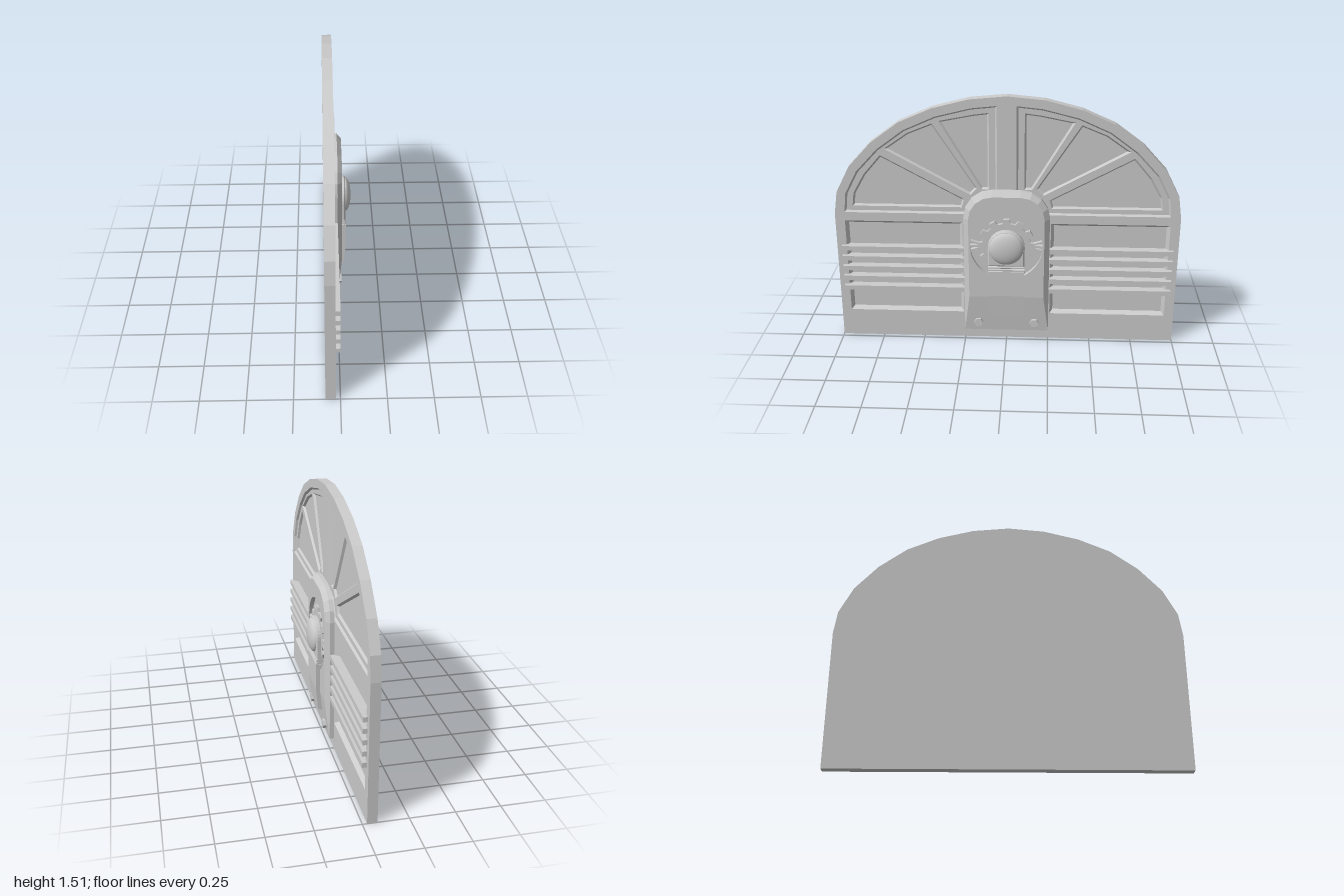
import * as THREE from 'three';

const material = new THREE.MeshStandardMaterial({ color: 0xcccccc, flatShading: true });
const smooth = new THREE.MeshStandardMaterial({ color: 0xcccccc });
const openWall = new THREE.MeshStandardMaterial({ color: 0xcccccc, side: THREE.DoubleSide });

const vec = (list) => list.map(([x, y]) => new THREE.Vector2(x, y));
const ccw = (pts) => (THREE.ShapeUtils.isClockWise(pts) ? pts.slice().reverse() : pts);
const mirror = (pts) => ccw(pts.map((p) => new THREE.Vector2(-p.x, p.y)));

// Moves every edge of a counter-clockwise loop inwards by d
function inset(pts, d) {
  const n = pts.length;
  return pts.map((p, i) => {
    const a = p.clone().sub(pts[(i + n - 1) % n]).normalize();
    const b = pts[(i + 1) % n].clone().sub(p).normalize();
    const na = new THREE.Vector2(-a.y, a.x), nb = new THREE.Vector2(-b.y, b.x);
    return p.clone().addScaledVector(na.clone().add(nb), d / (1 + na.dot(nb)));
  });
}

// Sloping band between two loops of equal length (a outside b)
function loft(a, za, b, zb) {
  const v = [];
  a.forEach((p, i) => {
    const j = (i + 1) % a.length, q = a[j], r = b[j], s = b[i];
    v.push(p.x, p.y, za, q.x, q.y, za, r.x, r.y, zb, p.x, p.y, za, r.x, r.y, zb, s.x, s.y, zb);
  });
  const g = new THREE.BufferGeometry();
  g.setAttribute('position', new THREE.Float32BufferAttribute(v, 3));
  g.computeVertexNormals();
  return g;
}

// Flat layer from z0 to z1, with optional holes
function layer(pts, z0, z1, holes = []) {
  const s = new THREE.Shape(pts);
  holes.forEach((h) => s.holes.push(new THREE.Path(h)));
  return new THREE.ExtrudeGeometry(s, { depth: z1 - z0, bevelEnabled: false }).translate(0, 0, z0);
}

// Arched outline: straight sides, quarter-circle corners of radius r
function arch(w, bottom, top, r, steps) {
  const pts = [[-w, bottom], [w, bottom]];
  for (const [cx, start] of [[w - r, 0], [r - w, Math.PI / 2]]) {
    for (let i = 0; i <= steps; i++) {
      const t = start + (i / steps) * Math.PI / 2;
      if (i === 0 && start > 0 && w - r < 0.001) continue;
      pts.push([cx + r * Math.cos(t), top - r + r * Math.sin(t)]);
    }
  }
  return vec(pts);
}

export function createModel() {
  const model = new THREE.Group();
  const door = new THREE.Group();
  door.name = 'archedDoor';
  door.rotation.y = Math.PI / 2; // decorated face looks along +x
  model.add(door);
  const add = (name, geo, mat = material) => {
    const m = new THREE.Mesh(geo, mat);
    m.name = name;
    door.add(m);
    return m;
  };
  const FACE = -0.025, FRAME = -0.037, FLOOR = -0.05;

  // Door outline and its recesses
  const half = [[1, 0.8], [0.98, 0.935], [0.9, 1.09], [0.767, 1.235], [0.605, 1.355], [0.418, 1.437], [0.212, 1.49]];
  const outline = vec([[-1, 0], [1, 0], ...half, [0, 1.51], ...half.map(([x, y]) => [-x, y]).reverse()]);
  const fan = ccw(vec([[-0.943, 0.81], [-0.93, 0.925], [-0.86, 1.06], [-0.735, 1.195], [-0.58, 1.31], [-0.4, 1.39],
    [-0.2, 1.44], [-0.055, 1.455], [-0.055, 0.93], [-0.17, 0.9], [-0.22, 0.81]]));
  const panes = [
    [[-0.895, 0.847], [-0.885, 0.925], [-0.82, 1.04], [-0.72, 1.157], [-0.245, 0.897], [-0.26, 0.847]],
    [[-0.695, 1.195], [-0.56, 1.29], [-0.418, 1.348], [-0.17, 0.965], [-0.21, 0.925]],
    [[-0.382, 1.362], [-0.19, 1.4], [-0.1, 1.412], [-0.1, 0.96], [-0.145, 0.96]],
  ].map((p) => ccw(vec(p)));
  const panel = vec([[-0.944, 0.17], [-0.257, 0.17], [-0.257, 0.757], [-0.944, 0.757]]);
  const both = (list) => [...list, ...list.map(mirror)];
  const fans = both([fan]), allPanes = both(panes), panels = both([panel]);

  add('backSlab', layer(outline, -0.08, FLOOR));
  add('faceFrame', layer(outline, FLOOR, FACE, [...fans, ...panels]));
  fans.forEach((f, i) => {
    add('fanWindowFrame', layer(f, FLOOR, FRAME, allPanes.slice(i * 3, i * 3 + 3)));
    add('fanWindowBevel', loft(f, FACE, inset(f, 0.01), FRAME));
  });
  allPanes.forEach((p) => add('paneBevel', loft(p, FRAME, inset(p, 0.01), FLOOR + 0.0005)));
  panels.forEach((p) => add('panelBevel', loft(p, FACE, inset(p, 0.018), FLOOR + 0.0005)));

  // Five horizontal bars across each side panel
  for (const side of [-1, 1]) {
    for (let i = 0; i < 5; i++) {
      add('panelBar', new THREE.BoxGeometry(0.75, 0.028, 0.05))
        .position.set(side * 0.595, 0.331 + i * 0.0645, -0.025);
    }
  }

  // Centre plate: base, chamfered upper face with round well, sloping lower face
  const TOP = 0.025, BEND = 0.3, CY = 0.63, WELL = 0.212;
  add('plateBase', layer(arch(0.25, 0.065, 0.965, 0.17, 4), FACE, 0));
  const outer = arch(0.25, BEND, 0.965, 0.17, 4);
  const inner = arch(0.22, BEND, 0.935, 0.14, 4);
  const rim = loft(outer, 0, inner, TOP);
  add('plateChamfer', rim);
  const face = new THREE.Shape(inner);
  face.holes.push(new THREE.Path().absarc(0, CY, WELL, 0, Math.PI * 2, true));
  add('plateFace', new THREE.ShapeGeometry(face, 20).translate(0, 0, TOP));
  add('wellWall', new THREE.CylinderGeometry(WELL, WELL, TOP, 40, 1, true)
    .rotateX(Math.PI / 2).translate(0, CY, TOP / 2), openWall);
  const ramp = new THREE.BufferGeometry();
  ramp.setAttribute('position', new THREE.Float32BufferAttribute([
    -0.25, 0.065, 0.001, 0.25, 0.065, 0.001, 0.22, BEND, TOP, -0.22, BEND, TOP, 0.25, BEND, 0, -0.25, BEND, 0], 3));
  ramp.setIndex([0, 1, 2, 0, 2, 3, 1, 4, 2, 0, 3, 5]);
  const rampFlat = ramp.toNonIndexed();
  rampFlat.computeVertexNormals();
  add('plateRamp', rampFlat);

  // Toothed wheel in the well
  const teeth = 12, gear = [];
  for (let i = 0; i < teeth; i++) {
    for (const [f, r] of [[-0.3, 0.142], [-0.2, 0.168], [0.2, 0.168], [0.3, 0.142]]) {
      const t = Math.PI / 2 + ((i + f) / teeth) * Math.PI * 2;
      gear.push([r * Math.cos(t), CY + r * Math.sin(t)]);
    }
  }
  add('gearWheel', layer(vec(gear), 0, 0.02));

  // Small splayed pins either side of the wheel
  for (const side of [-1, 1]) {
    for (const k of [-1, 0, 1]) {
      const pin = add('sidePin', new THREE.BoxGeometry(0.055, 0.011, 0.022));
      pin.position.set(side * 0.185, CY + k * 0.022, 0.011);
      pin.rotation.z = side * k * 0.3;
    }
  }

  // Handle housing: round head, dome, ribs and tapering lower arm
  const head = arch(0.107, 0.51, 0.735, 0.107, 8);
  add('handleHead', layer(head, 0, 0.04));
  const headTop = inset(head, 0.008);
  add('handleHeadBevel', loft(head, 0.04, headTop, 0.047));
  add('handleHeadFace', new THREE.ShapeGeometry(new THREE.Shape(headTop)).translate(0, 0, 0.047));
  const dome = add('dome', new THREE.SphereGeometry(0.1, 28, 12, 0, Math.PI * 2, 0, Math.PI / 2).rotateX(Math.PI / 2), smooth);
  dome.position.set(0, 0.625, 0.045);
  dome.scale.z = 0.35;
  for (const y of [0.487, 0.503]) {
    add('handleRib', new THREE.CylinderGeometry(0.008, 0.008, 0.214, 8).rotateZ(Math.PI / 2)).position.set(0, y, 0.04);
  }
  add('ribBacking', new THREE.BoxGeometry(0.2, 0.04, 0.038)).position.set(0, 0.495, 0.019);
  const arm = new THREE.Shape(vec([[0, 0.18], [-0.015, 0.18], [-0.038, 0.19], [-0.05, 0.32], [-0.05, 0.478], [0, 0.478]]));
  add('handleArm', new THREE.ExtrudeGeometry(arm, { depth: 0.21, bevelEnabled: false })
    .rotateY(Math.PI / 2).translate(-0.105, 0, 0));

  // Hexagonal bolts at the foot of the plate
  for (const side of [-1, 1]) {
    add('bolt', new THREE.CylinderGeometry(0.027, 0.027, 0.025, 6).rotateX(Math.PI / 2).rotateZ(Math.PI / 6))
      .position.set(side * 0.167, 0.123, 0.0125);
  }
  return model;
}
